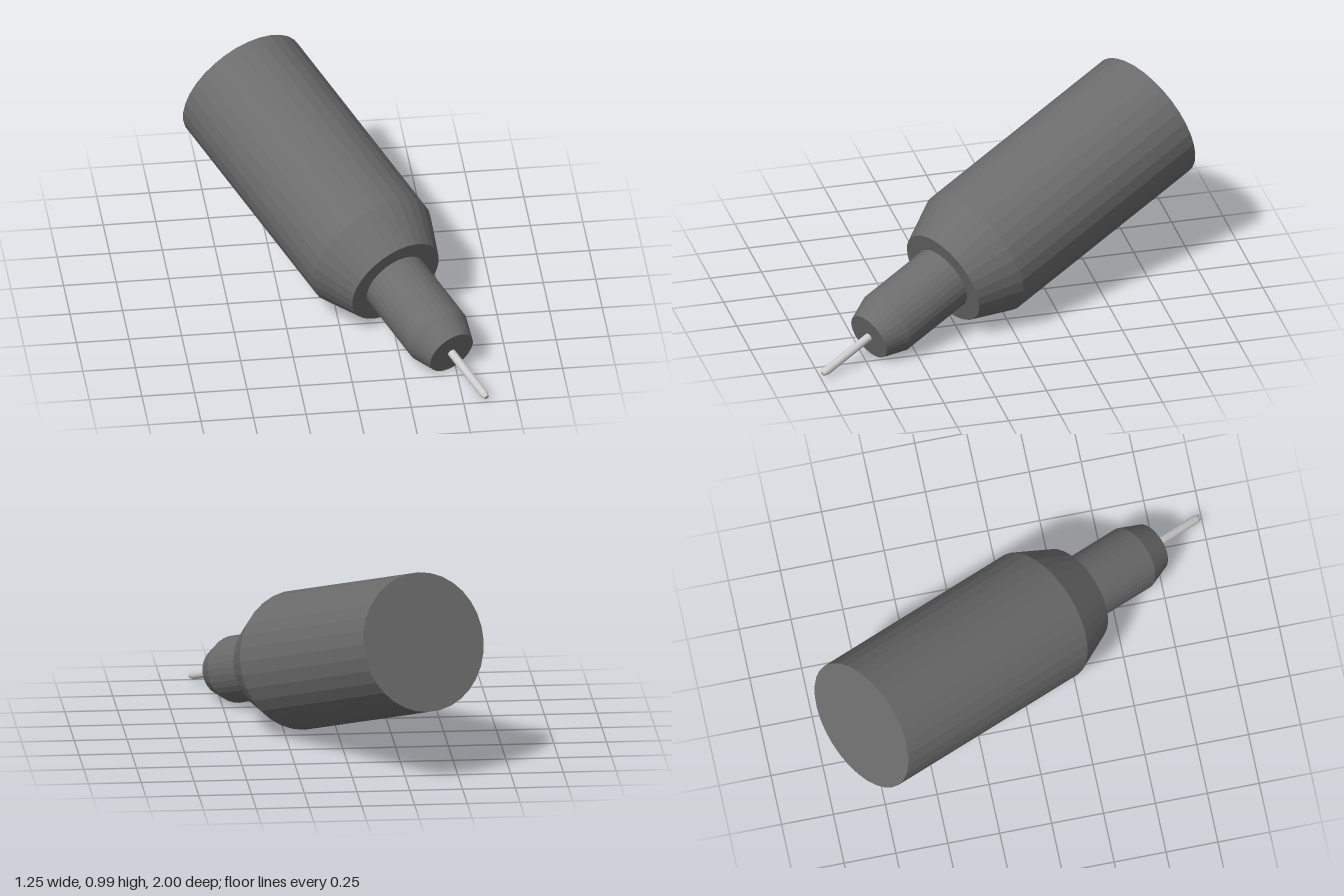
import * as THREE from 'three';

// Closed faceted solid of revolution from [radius, distance along axis] pairs
function turned(name, profile, sides, color) {
  const points = profile.map(([r, t]) => new THREE.Vector2(r, t));
  const material = new THREE.MeshStandardMaterial({ color, flatShading: true });
  const mesh = new THREE.Mesh(new THREE.LatheGeometry(points, sides), material);
  mesh.name = name;
  return mesh;
}

export function createModel() {
  const model = new THREE.Group();
  model.name = 'finelinerTip';

  // Everything shares one axis, running from the rear cap to the point
  const axis = new THREE.Group();
  axis.name = 'penAxis';
  axis.position.set(-0.33, 0.683, -0.83);
  const direction = new THREE.Vector3(0.437, -0.305, 0.847).normalize();
  axis.quaternion.setFromUnitVectors(new THREE.Vector3(0, 1, 0), direction);
  model.add(axis);

  const dark = 0x6c6c6c;
  axis.add(
    // Wide barrel tapering to a flat shoulder
    turned('barrel', [[0, 0], [0.331, 0], [0.331, 1.14], [0.242, 1.35], [0, 1.35]], 32, dark),
    // Narrow neck with a chamfered end
    turned('neck', [[0, 1.34], [0.16, 1.34], [0.16, 1.725], [0.119, 1.843], [0, 1.843]], 32, dark),
    // Thin writing point with a blunted end
    turned('point', [[0, 1.83], [0.02, 1.83], [0.02, 2.127], [0.012, 2.152], [0, 2.152]], 16, 0xcccccc),
  );
  return model;
}
